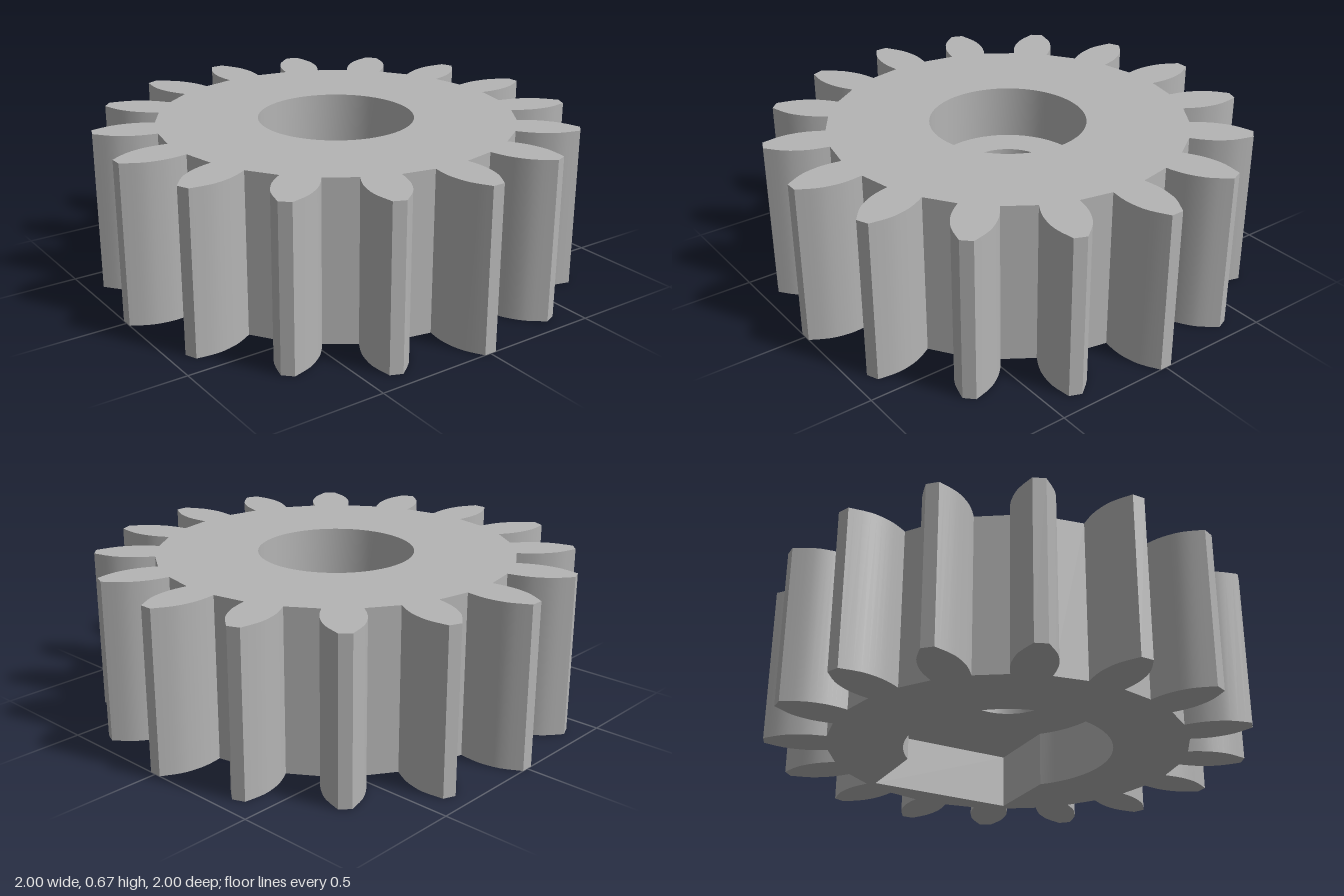
import * as THREE from 'three';
import { toCreasedNormals } from 'three/addons/utils/BufferGeometryUtils.js';

const TEETH = 16;
const HEIGHT = 0.67;
const WEB_BOTTOM = 0.243; // ceiling of the lower recess
const WEB_TOP = 0.445; // floor of the upper counterbore

const polar = (r, a) => new THREE.Vector2(r * Math.cos(a), r * Math.sin(a));

// Counter-clockwise arc, both ends included
function arc(r, from, to, steps) {
  return Array.from({ length: steps + 1 }, (_, i) => polar(r, from + ((to - from) * i) / steps));
}
const circle = (r) => arc(r, 0, Math.PI * 2, 64).slice(0, -1);

// Toothed outline: curved flanks, flat tips and flat roots
function gearOutline() {
  const flank = new THREE.SplineCurve([
    new THREE.Vector2(0.744, -0.077),
    new THREE.Vector2(0.795, -0.084),
    new THREE.Vector2(0.85, -0.084),
    new THREE.Vector2(0.923, -0.068),
    new THREE.Vector2(1.0, -0.026),
  ]).getPoints(12);
  const tooth = [...flank, ...flank.map((p) => new THREE.Vector2(p.x, -p.y)).reverse()];
  const origin = new THREE.Vector2();
  const points = [];
  for (let i = 0; i < TEETH; i++) {
    const a = (i / TEETH) * Math.PI * 2;
    for (const p of tooth) points.push(p.clone().rotateAround(origin, a));
  }
  return points;
}

// Round recess with a square-ended keyway running towards +x
function recessOutline() {
  const r = 0.435, half = 0.325, end = 0.632;
  const a = Math.asin(half / r);
  return [
    ...arc(r, a, Math.PI * 2 - a, 56),
    new THREE.Vector2(end, -half),
    new THREE.Vector2(end, half),
  ];
}

// Vertical wall along a closed outline, facing outwards or into the hole
function wall(outline, y0, y1, inward = false) {
  const pts = inward ? [...outline].reverse() : outline;
  const pos = [];
  pts.forEach((a, i) => {
    const b = pts[(i + 1) % pts.length];
    pos.push(a.x, y0, -a.y, b.x, y0, -b.y, b.x, y1, -b.y);
    pos.push(a.x, y0, -a.y, b.x, y1, -b.y, a.x, y1, -a.y);
  });
  const geo = new THREE.BufferGeometry();
  geo.setAttribute('position', new THREE.Float32BufferAttribute(pos, 3));
  geo.computeVertexNormals();
  return toCreasedNormals(geo, 0.45);
}

// Horizontal face with one hole, facing up or down
function face(outline, hole, y, up) {
  const shape = new THREE.Shape(outline);
  shape.holes.push(new THREE.Path(hole));
  return new THREE.ShapeGeometry(shape)
    .rotateX(up ? -Math.PI / 2 : Math.PI / 2)
    .translate(0, y, 0);
}

export function createModel() {
  const group = new THREE.Group();
  group.name = 'spurGear';
  const metal = new THREE.MeshStandardMaterial({ color: 0xb4b4b4 });
  metal.name = 'greyMetal';
  const add = (name, geo) => {
    const mesh = new THREE.Mesh(geo, metal);
    mesh.name = name;
    group.add(mesh);
  };

  const gear = gearOutline();
  const bore = circle(0.18);
  const counterbore = circle(0.325);
  const recess = recessOutline();

  // Toothed body
  add('teeth', wall(gear, 0, HEIGHT));
  add('topFace', face(gear, counterbore, HEIGHT, true));
  add('bottomFace', face(gear, recess, 0, false));

  // Upper counterbore
  add('counterboreWall', wall(counterbore, WEB_TOP, HEIGHT, true));
  add('counterboreFloor', face(counterbore, bore, WEB_TOP, true));

  // Shaft hole through the web
  add('boreWall', wall(bore, WEB_BOTTOM, WEB_TOP, true));

  // Lower recess with keyway
  add('recessWall', wall(recess, 0, WEB_BOTTOM, true));
  add('recessCeiling', face(recess, bore, WEB_BOTTOM, false));

  return group;
}
